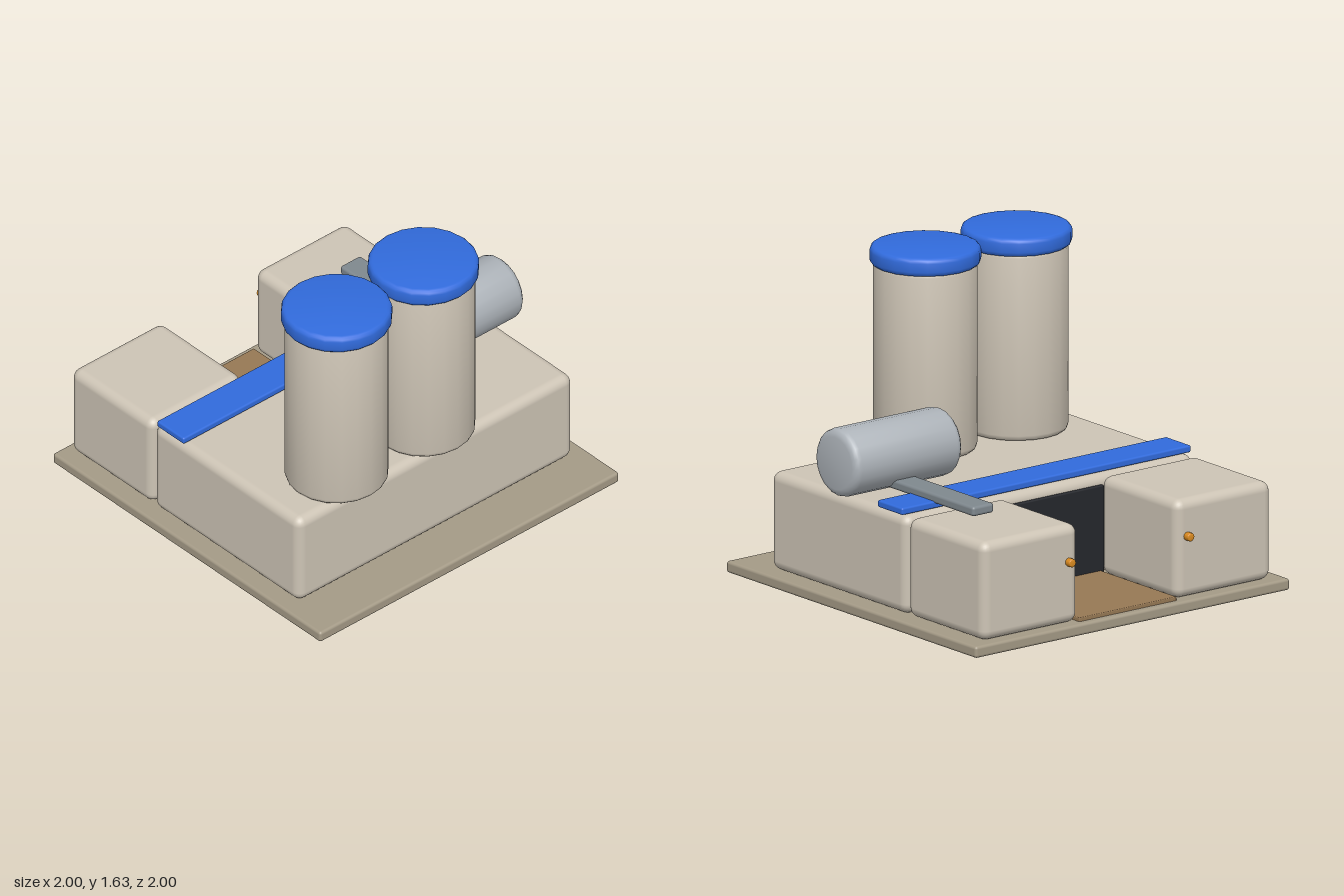
import * as THREE from 'three';
import { RoundedBoxGeometry } from 'three/addons/geometries/RoundedBoxGeometry.js';
import { toCreasedNormals } from 'three/addons/utils/BufferGeometryUtils.js';

const mat = (color) => new THREE.MeshStandardMaterial({ color });
const wall = mat(0xcdc4b5), slab = mat(0xa49a86), blue = mat(0x316bdc), brown = mat(0x967854);
const steel = mat(0xadb3b9), darkSteel = mat(0x7f888e), orange = mat(0xd98a20), dark = mat(0x25272c);

export function createModel() {
  const model = new THREE.Group();

  const add = (name, geometry, material, x = 0, y = 0, z = 0) => {
    const mesh = new THREE.Mesh(geometry, material);
    mesh.name = name;
    mesh.position.set(x, y, z);
    model.add(mesh);
    return mesh;
  };

  // Rounded box given by its extents
  const box = (name, material, [x0, x1], [y0, y1], [z0, z1], r) =>
    add(name, new RoundedBoxGeometry(x1 - x0, y1 - y0, z1 - z0, 3, r), material,
      (x0 + x1) / 2, (y0 + y1) / 2, (z0 + z1) / 2);

  // Closed drum with rounded rims, standing on y = 0
  const drum = (radius, height, r, sides = 20) => {
    const points = [new THREE.Vector2(0, 0)];
    for (let i = 0; i <= 6; i++) {
      if (i === 3) points.push(new THREE.Vector2(radius, r), new THREE.Vector2(radius, height - r));
      else {
        const a = (i < 3 ? i : i - 3) * Math.PI / 6;
        points.push(i < 3
          ? new THREE.Vector2(radius - r + r * Math.sin(a), r - r * Math.cos(a))
          : new THREE.Vector2(radius - r + r * Math.cos(a), height - r + r * Math.sin(a)));
      }
    }
    points.push(new THREE.Vector2(0, height));
    return toCreasedNormals(new THREE.LatheGeometry(points, sides), 0.6);
  };

  // Ground slab and buildings
  box('groundSlab', slab, [-1, 1], [0, 0.06], [-1, 1], 0.015);
  box('mainHall', wall, [-0.92, 0.92], [0.06, 0.57], [-0.34, 0.75], 0.05);
  box('roofStripe', blue, [-0.92, 0.92], [0.573, 0.61], [-0.31, -0.11], 0.01);

  // Loading yard between the two wings
  box('yardFloor', brown, [-0.31, 0.31], [0.055, 0.08], [-0.96, -0.35], 0.005);
  box('yardDoor', dark, [-0.33, 0.33], [0.06, 0.52], [-0.357, -0.33], 0.008);

  // Rear wings with a lamp on each back wall
  for (const side of [-1, 1]) {
    const name = side > 0 ? 'left' : 'right';
    const xs = [side * 0.31, side * 0.92].sort((a, b) => a - b);
    box(name + 'Wing', wall, xs, [0.06, 0.57], [-0.96, -0.345], 0.05);
    add(name + 'Lamp', drum(0.022, 0.045, 0.008, 12), orange, side * 0.377, 0.382, -0.95)
      .rotation.x = -Math.PI / 2;
  }

  // Two silos with lids
  for (const x of [-0.515, 0.065]) {
    add('silo', drum(0.26, 0.98, 0.03), wall, x, 0.572, 0.58);
    add('siloLid', drum(0.279, 0.095, 0.025), blue, x, 1.532, 0.58);
  }

  // Horizontal tank and its duct
  add('tank', drum(0.175, 0.685, 0.04), steel, 0.99, 0.755, 0.14).rotation.z = Math.PI / 2;
  box('duct', darkSteel, [0.58, 0.715], [0.598, 0.648], [-0.62, 0.14], 0.015);

  return model;
}
